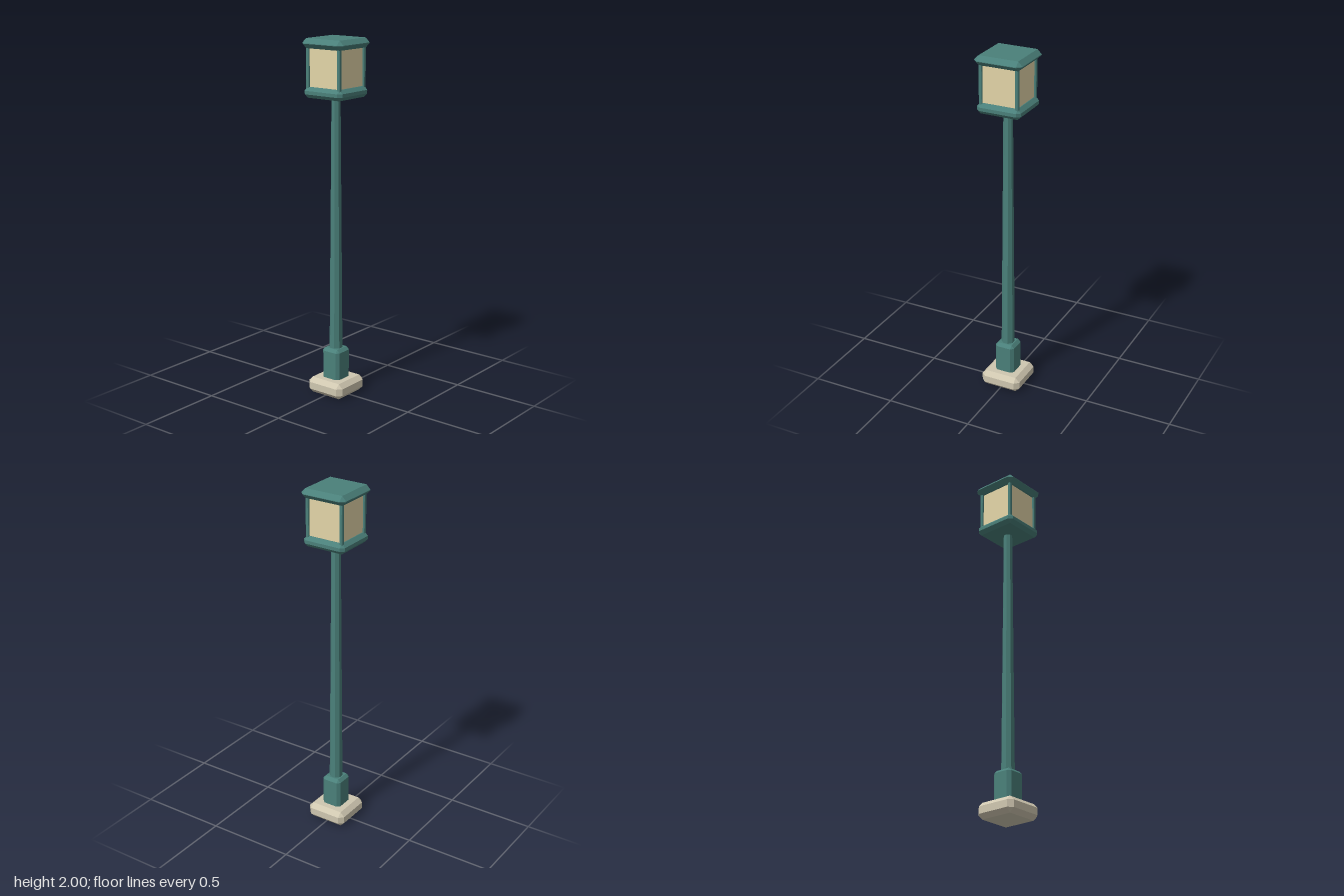
import * as THREE from 'three';
import { ConvexGeometry } from 'three/addons/geometries/ConvexGeometry.js';

const paint = (color) => new THREE.MeshStandardMaterial({ color, flatShading: true });

// Square block with every edge chamfered, from y0 to y1, half = half width
function chamferedBlock(half, y0, y1, bevel) {
  const h = (y1 - y0) / 2;
  const points = [];
  for (const x of [-1, 1]) for (const y of [-1, 1]) for (const z of [-1, 1]) {
    for (let axis = 0; axis < 3; axis++) {
      const cut = [0, 1, 2].map((i) => (i === axis ? 0 : bevel));
      points.push(new THREE.Vector3(x * (half - cut[0]), y * (h - cut[1]), z * (half - cut[2])));
    }
  }
  return new ConvexGeometry(points).translate(0, (y0 + y1) / 2, 0);
}

export function createModel() {
  const model = new THREE.Group();
  model.name = 'streetLamp';
  const metal = paint(0x4a807a);
  const stone = paint(0xcfc7b0);
  const glass = paint(0xe3d5a8);

  const add = (name, geometry, material, parent = model) => {
    const mesh = new THREE.Mesh(geometry, material);
    mesh.name = name;
    parent.add(mesh);
    return mesh;
  };

  // Footing and pedestal
  add('footing', chamferedBlock(0.119, 0, 0.09, 0.025), stone);
  add('pedestal', chamferedBlock(0.059, 0.06, 0.265, 0.017), metal);

  // Tapered octagonal pole with flat sides facing front
  const apothem = Math.cos(Math.PI / 8);
  const pole = new THREE.CylinderGeometry(0.0235 / apothem, 0.035 / apothem, 1.45, 8);
  add('pole', pole.rotateY(Math.PI / 8).translate(0, 0.975, 0), metal);

  // Lantern: tray, glass, corner posts and roof
  const lantern = new THREE.Group();
  lantern.name = 'lantern';
  model.add(lantern);
  add('lanternTray', chamferedBlock(0.128, 1.683, 1.742, 0.02), metal, lantern);
  add('lanternGlass', chamferedBlock(0.104, 1.72, 1.97, 0.008), glass, lantern);
  for (const x of [-1, 1]) for (const z of [-1, 1]) {
    const post = add('cornerPost', chamferedBlock(0.0095, 1.725, 1.965, 0.003), metal, lantern);
    post.position.set(x * 0.105, 0, z * 0.105);
  }
  add('lanternRoof', chamferedBlock(0.138, 1.947, 2, 0.025), metal, lantern);

  return model;
}
